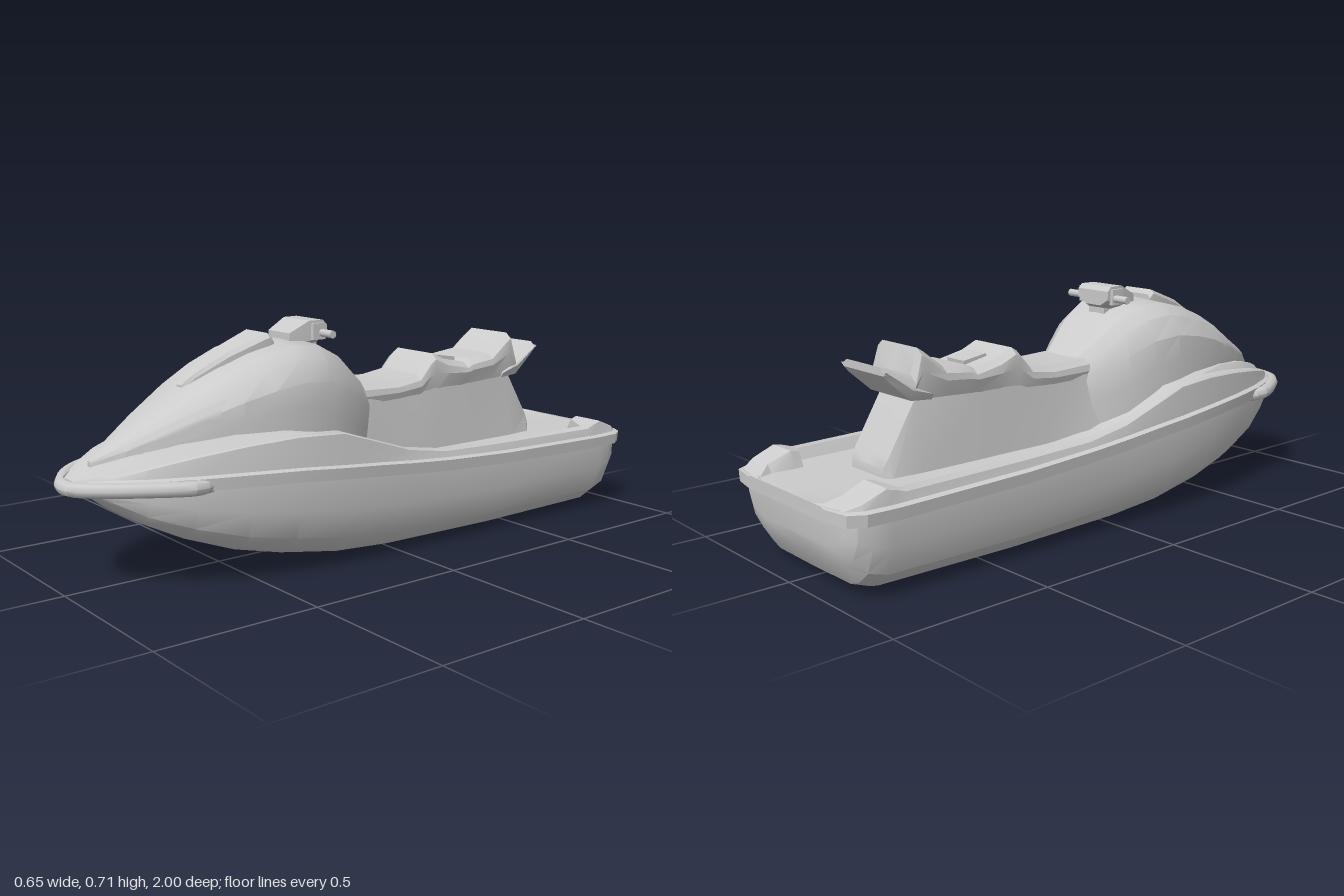
import * as THREE from 'three';
import { toCreasedNormals } from 'three/addons/utils/BufferGeometryUtils.js';

const grey = new THREE.MeshStandardMaterial({ color: 0xcccccc });

function add(parent, name, geometry, x = 0, y = 0, z = 0) {
  const mesh = new THREE.Mesh(geometry, grey);
  mesh.name = name;
  mesh.position.set(x, y, z);
  parent.add(mesh);
  return mesh;
}

// Skin mirrored cross-sections, listed stern to bow. Each half profile runs
// from bottom centre, outwards and up, to top centre.
function loft(sections, crease = 0.5) {
  const rings = sections.map(({ z, half }) => [
    ...half.map(([x, y]) => new THREE.Vector3(x, y, z)),
    ...half.slice(1, -1).reverse().map(([x, y]) => new THREE.Vector3(-x, y, z)),
  ]);
  const pos = [];
  const tri = (a, b, c) => {
    const n = b.clone().sub(a).cross(c.clone().sub(a));
    if (n.length() > 1e-9) for (const p of [a, b, c]) pos.push(p.x, p.y, p.z);
  };
  const n = rings[0].length;
  for (let i = 0; i < rings.length - 1; i++) {
    for (let j = 0; j < n; j++) {
      const k = (j + 1) % n;
      const [a, b, c, d] = [rings[i][j], rings[i][k], rings[i + 1][k], rings[i + 1][j]];
      tri(a, b, d);
      tri(b, c, d);
    }
  }
  // End caps, as strips between mirrored points
  const m = sections[0].half.length;
  const cap = (r, front) => {
    for (let j = 0; j < m - 1; j++) {
      const [a, b, c, d] = [r[j], r[j + 1], r[(n - j - 1) % n], r[(n - j) % n]];
      if (front) { tri(a, b, c); tri(a, c, d); } else { tri(a, c, b); tri(a, d, c); }
    }
  };
  cap(rings[0], false);
  cap(rings[rings.length - 1], true);
  const g = new THREE.BufferGeometry();
  g.setAttribute('position', new THREE.Float32BufferAttribute(pos, 3));
  return toCreasedNormals(g, crease);
}

// Patch laid over a surface: a front-view quad projected back along z
function projectedPatch(target, corners, lift, side) {
  const g = new THREE.PlaneGeometry(1, 1, 8, 8);
  const p = g.attributes.position, uv = g.attributes.uv, ray = new THREE.Raycaster();
  const [a, b, c, d] = corners.map(([x, y]) => new THREE.Vector2(x * side, y));
  for (let i = 0; i < p.count; i++) {
    const u = uv.getX(i), v = uv.getY(i);
    const q = a.clone().lerp(b, u).lerp(d.clone().lerp(c, u), v);
    ray.set(new THREE.Vector3(q.x, q.y, 2), new THREE.Vector3(0, 0, -1));
    const hit = ray.intersectObject(target)[0];
    p.setXYZ(i, q.x, q.y, (hit ? hit.point.z : 0.5) + lift);
  }
  if (side < 0) g.index.array.reverse();
  g.computeVertexNormals();
  return g;
}

export function createModel() {
  const model = new THREE.Group();
  model.name = 'personalWatercraft';

  // Hull: z, half width, keel height, rim height
  const hull = [
    [-0.975, 0.25, 0.14, 0.25], [-0.955, 0.285, 0.085, 0.25], [-0.92, 0.3, 0.03, 0.25],
    [-0.86, 0.306, 0.008, 0.25], [-0.4, 0.308, 0.003, 0.255], [0, 0.308, 0.008, 0.28],
    [0.2, 0.308, 0.022, 0.3], [0.4, 0.295, 0.055, 0.315], [0.55, 0.27, 0.09, 0.32],
    [0.7, 0.228, 0.145, 0.32], [0.82, 0.175, 0.205, 0.32], [0.9, 0.11, 0.265, 0.315],
    [0.95, 0.05, 0.3, 0.312],
  ];
  add(model, 'hull', loft(hull.map(([z, w, k, r]) => {
    const y = (t) => k + (r - k) * t;
    return { z, half: [[0, k], [0.62 * w, y(0.01)], [0.75 * w, y(0.07)], [0.91 * w, y(0.25)], [w, y(0.58)], [w, r], [0, r]] };
  })));

  // Deck with rub rail, gunwale and footwells:
  // z, half width, rail height, gunwale top, gunwale width, floor height
  const deck = [
    [-1.0, 0.185, 0.245, 0.264, 0.03, 0.262], [-0.985, 0.27, 0.245, 0.268, 0.08, 0.262],
    [-0.94, 0.298, 0.245, 0.285, 0.09, 0.262], [-0.87, 0.302, 0.245, 0.312, 0.1, 0.262],
    [-0.84, 0.303, 0.245, 0.305, 0.1, 0.262], [-0.81, 0.304, 0.246, 0.295, 0.03, 0.262],
    [-0.4, 0.306, 0.255, 0.302, 0.03, 0.265], [-0.15, 0.306, 0.268, 0.31, 0.03, 0.27],
    [0, 0.307, 0.28, 0.335, 0.03, 0.285], [0.12, 0.308, 0.292, 0.375, 0.03, 0.33],
    [0.25, 0.307, 0.303, 0.418, 0.035, 0.405], [0.4, 0.296, 0.315, 0.425, 0.04, 0.43],
    [0.55, 0.268, 0.32, 0.415, 0.04, 0.432], [0.7, 0.226, 0.322, 0.395, 0.04, 0.415],
    [0.82, 0.175, 0.322, 0.37, 0.04, 0.388], [0.9, 0.115, 0.32, 0.35, 0.04, 0.362],
    [0.975, 0.03, 0.313, 0.328, 0.04, 0.328],
  ];
  add(model, 'deck', loft(deck.map(([z, w, r, g, gw, f]) => {
    const s = Math.min(1, w / 0.15);
    return { z, half: [
      [0, r - 0.012], [w - 0.01 * s, r - 0.012], [w + 0.012 * s, r - 0.02], [w + 0.016 * s, r + 0.015],
      [w - 0.002 * s, r + 0.02], [w - 0.008 * s, g - 0.004], [w - 0.014 * s, g],
      [w - (0.012 + gw) * s, g], [w - (0.03 + gw) * s, f], [0, f],
    ] };
  }), 0.4));

  // Bow bumper
  const side = [[0.225, 0.312, 0.66], [0.243, 0.315, 0.71], [0.185, 0.318, 0.84], [0.115, 0.316, 0.925], [0.03, 0.31, 0.977]];
  const path = [...side, ...side.slice().reverse().map(([x, y, z]) => [-x, y, z])];
  const curve = new THREE.CatmullRomCurve3(path.map((p) => new THREE.Vector3(...p)));
  add(model, 'bowBumper', toCreasedNormals(new THREE.TubeGeometry(curve, 28, 0.022, 8), 0.8));

  // Hood: z, half width, base, side top, crown
  const hood = [
    [-0.01, 0.105, 0.25, 0.43, 0.5], [0.06, 0.15, 0.26, 0.47, 0.555], [0.13, 0.185, 0.28, 0.51, 0.615],
    [0.22, 0.21, 0.33, 0.55, 0.66], [0.32, 0.22, 0.38, 0.56, 0.665], [0.42, 0.213, 0.39, 0.545, 0.64],
    [0.52, 0.195, 0.39, 0.52, 0.6], [0.62, 0.165, 0.38, 0.485, 0.55], [0.73, 0.12, 0.36, 0.44, 0.485],
    [0.83, 0.065, 0.34, 0.4, 0.425], [0.91, 0.008, 0.33, 0.368, 0.374],
  ];
  const hoodMesh = add(model, 'hood', loft(hood.map(([z, w, b, m, t]) => ({
    z, half: [[0, b], [w, b], [w, b + (m - b) * 0.6], [0.98 * w, m], [0.82 * w, m + (t - m) * 0.6], [0.6 * w, m + (t - m) * 0.93], [0, t]],
  })), 0.45));

  // Raised vent on the hood
  const vent = [[0.335, 0.068, 0.675], [0.35, 0.07, 0.69], [0.48, 0.052, 0.642], [0.58, 0.028, 0.588], [0.62, 0.015, 0.556]];
  add(model, 'hoodVent', loft(vent.map(([z, w, t]) => ({
    z, half: [[0, t - 0.08], [w, t - 0.08], [w, t - 0.012], [0.8 * w, t], [0, t]],
  })), 0.4));

  // Headlights, each a rim with a raised lens
  for (const s of [1, -1]) {
    const name = s > 0 ? 'left' : 'right';
    const rim = [[0.067, 0.42], [0.085, 0.392], [0.182, 0.45], [0.166, 0.535]];
    const lens = [[0.08, 0.423], [0.09, 0.405], [0.173, 0.458], [0.16, 0.518]];
    add(model, name + 'HeadlightRim', projectedPatch(hoodMesh, rim, 0.007, s));
    add(model, name + 'HeadlightLens', projectedPatch(hoodMesh, lens, 0.012, s));
  }

  // Pedestal below the seat: z, top, bottom half width, top half width
  const pedestal = [
    [-0.735, 0.29, 0.085, 0.08], [-0.72, 0.32, 0.1, 0.085], [-0.62, 0.485, 0.11, 0.085], [-0.37, 0.48, 0.115, 0.1],
    [-0.2, 0.46, 0.125, 0.105], [-0.05, 0.46, 0.13, 0.105], [0.1, 0.46, 0.16, 0.12],
  ];
  add(model, 'seatPedestal', loft(pedestal.map(([z, t, wb, wt]) => ({
    z, half: [[0, 0.25], [wb, 0.25], [wt, t], [0, t]],
  }))));

  // Stepped seat: z, top, bottom
  const seatHalf = ([z, t, b]) => ({
    z, half: [[0, b], [0.1, b], [0.112, b + (t - b) * 0.55], [0.108, t - 0.018], [0.085, t], [0, t]],
  });
  const seat = [
    [-0.64, 0.545, 0.48], [-0.615, 0.618, 0.475], [-0.595, 0.605, 0.472], [-0.53, 0.555, 0.47], [-0.44, 0.545, 0.465],
    [-0.42, 0.535, 0.465], [-0.33, 0.553, 0.455], [-0.275, 0.577, 0.445], [-0.255, 0.565, 0.44],
    [-0.21, 0.515, 0.43], [-0.12, 0.502, 0.425], [0.05, 0.508, 0.42],
  ];
  add(model, 'seat', loft(seat.map(seatHalf), 0.35));
  const divider = add(model, 'seatDivider', new THREE.BoxGeometry(0.08, 0.025, 0.085), 0, 0.542, -0.375);
  divider.rotation.x = -0.15;

  // Upswept flap behind the seat
  const flap = [[-0.738, 0.578, 0.555], [-0.72, 0.572, 0.535], [-0.65, 0.532, 0.474], [-0.58, 0.5, 0.468]];
  add(model, 'rearGrabFlap', loft(flap.map(seatHalf), 0.35));

  // Steering console, grips and column
  const steering = new THREE.Group();
  steering.name = 'steering';
  model.add(steering);
  const consoleRows = [[0.14, 0.068, 0.655, 0.702], [0.155, 0.068, 0.645, 0.716], [0.205, 0.066, 0.635, 0.716], [0.27, 0.055, 0.64, 0.682]];
  add(steering, 'console', loft(consoleRows.map(([z, w, b, t]) => ({
    z, half: [[0, b], [0.5 * w, b], [w, b + 0.02], [w, t], [0, t]],
  })), 0.3));
  add(steering, 'steeringColumn', new THREE.BoxGeometry(0.07, 0.1, 0.08), 0, 0.62, 0.195);
  for (const s of [1, -1]) {
    const name = s > 0 ? 'left' : 'right';
    add(steering, name + 'GripMount', new THREE.BoxGeometry(0.014, 0.05, 0.045), s * 0.071, 0.683, 0.175);
    const grip = add(steering, name + 'Grip', new THREE.CylinderGeometry(0.012, 0.012, 0.07, 8), s * 0.098, 0.678, 0.165);
    grip.rotation.z = Math.PI / 2;
  }
  return model;
}
